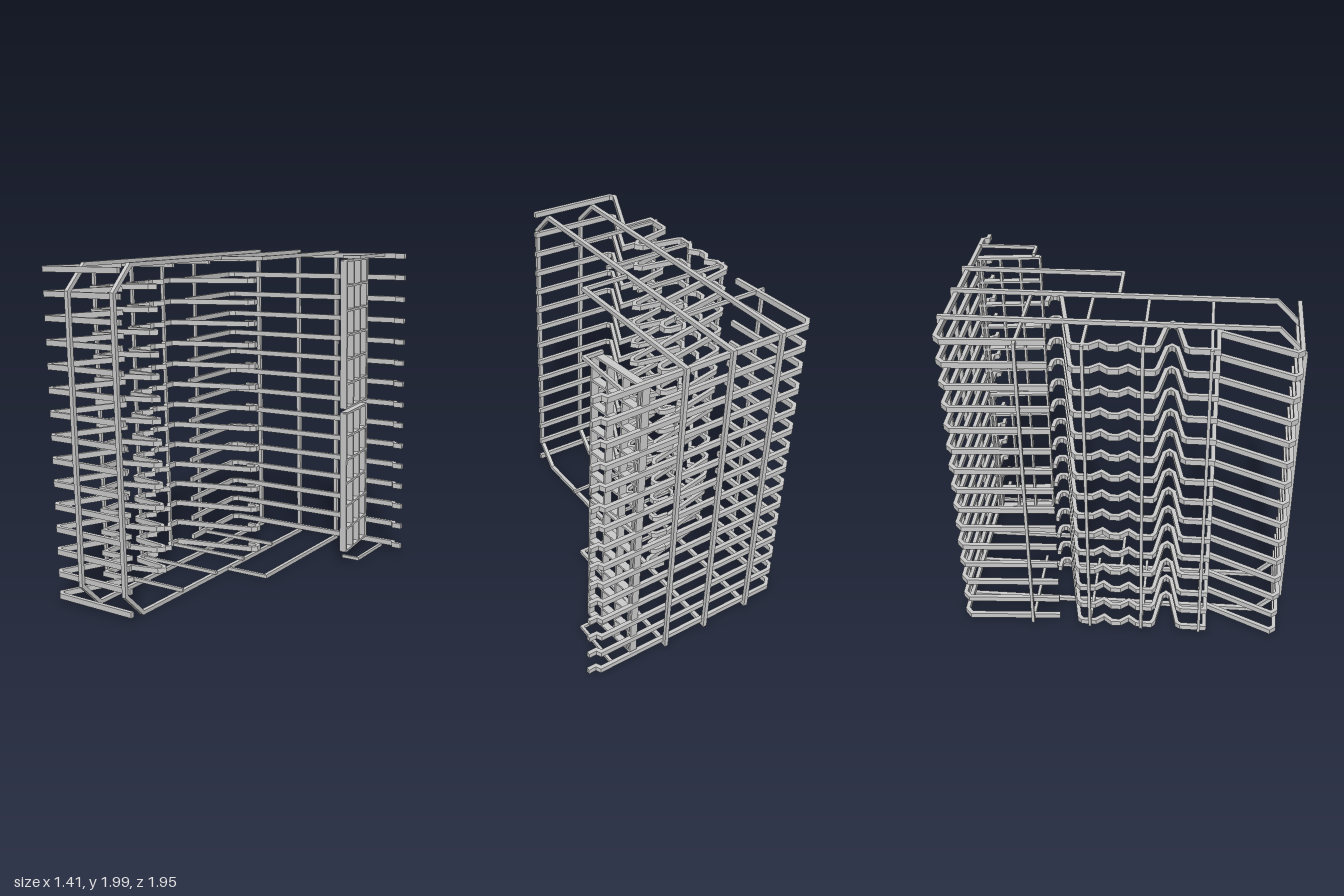
import * as THREE from 'three';

const material = new THREE.MeshStandardMaterial({ color: 0xcccccc });

// Mitred offset of a polyline to one side
function offset(pts, d, closed) {
  const n = pts.length;
  const dir = (a, b) => new THREE.Vector2(b[0] - a[0], b[1] - a[1]).normalize();
  return pts.map((p, i) => {
    const hasPrev = closed || i > 0, hasNext = closed || i < n - 1;
    let a = hasPrev ? dir(pts[(i + n - 1) % n], p) : null;
    let b = hasNext ? dir(p, pts[(i + 1) % n]) : null;
    a = a || b;
    b = b || a;
    const k = d / Math.max(0.25, 1 + a.dot(b));
    return new THREE.Vector2(p[0] - (a.y + b.y) * k, p[1] + (a.x + b.x) * k);
  });
}

// Square-section wire following a flat path; thick is measured across the path's plane
function wire(pts, width, thick, closed = false) {
  const a = offset(pts, width / 2, closed), b = offset(pts, -width / 2, closed);
  let shape;
  if (closed) {
    const flip = THREE.ShapeUtils.area(a) > THREE.ShapeUtils.area(b);
    shape = new THREE.Shape(flip ? a : b);
    shape.holes.push(new THREE.Path(flip ? b : a));
  } else {
    shape = new THREE.Shape([...a, ...b.reverse()]);
  }
  const g = new THREE.ExtrudeGeometry(shape, { depth: thick, bevelEnabled: false });
  return g.translate(0, 0, -thick / 2);
}
// Paths given as [x, z] lying flat, and as [z, y] standing sideways
const flatWire = (pts, w, t) => wire(pts.map(([x, z]) => [x, -z]), w, t).rotateX(-Math.PI / 2);
const sideWire = (pts, w, t, closed) => wire(pts, w, t, closed).rotateY(-Math.PI / 2);

export function createModel() {
  const model = new THREE.Group();
  const rack = new THREE.Group();
  rack.name = 'wireRack';
  const add = (name, geometry, x = 0, y = 0, z = 0) => {
    const mesh = new THREE.Mesh(geometry, material);
    mesh.name = name;
    mesh.position.set(x, y, z);
    rack.add(mesh);
    return mesh;
  };

  // Fifteen levels of bent wire: a hooked back wire and a zigzag side wire
  const back = flatWire([
    [0.68, -0.915], [0.625, -0.915], [0.61, -0.945], [-0.63, -0.945],
    [-0.667, -0.91], [-0.632, -0.37]], 0.024, 0.033);
  const side = flatWire([
    [-0.21, -0.43], [-0.14, -0.425], [-0.12, -0.41], [-0.118, -0.38], [-0.14, -0.356],
    [-0.645, -0.25], [-0.667, -0.23], [-0.667, -0.15], [-0.625, -0.1], [-0.667, -0.05],
    [-0.667, 0], [-0.625, 0.05], [-0.667, 0.1], [-0.667, 0.185], [-0.645, 0.2],
    [-0.42, 0.237], [-0.393, 0.265], [-0.42, 0.295], [-0.65, 0.343],
    [-0.667, 0.365], [-0.667, 0.508], [-0.47, 0.508], [-0.664, 0.9],
    [-0.64, 0.928], [-0.095, 0.942]], 0.024, 0.033);
  for (let i = 0; i < 15; i++) {
    const y = 1.013 + (i - 7) * 0.136;
    add('backWire', back, 0, y);
    add('sideWire', side, 0, y);
  }

  // Two full loops with clipped front corners
  const loop = sideWire([
    [-0.965, 0.028], [0.82, 0.028], [0.962, 0.17], [0.962, 1.846],
    [0.82, 1.988], [-0.965, 1.988]], 0.024, 0.026, true);
  for (const x of [-0.445, -0.125]) add('mainLoop', loop, x);

  // Half-depth bracket behind the opening, tied to the inner loop
  add('rearBracket', sideWire([
    [-0.04, 1.985], [-0.965, 1.985], [-0.965, 0.028], [-0.04, 0.028]], 0.024, 0.024), 0.165);
  for (const y of [0.028, 1.985]) {
    add('bracketTie', new THREE.BoxGeometry(0.31, 0.022, 0.02), 0.022, y, -0.04);
  }

  // C-shaped side posts with arms over the top and under the bottom
  const post = wire([[-0.09, 1.968], [-0.683, 1.968], [-0.683, 0.055], [-0.09, 0.055]], 0.022, 0.018);
  for (const z of [-0.53, -0.183, 0.127, 0.475]) add('sidePost', post, 0, 0, z);

  // Two stacked grid panels made of deep slats, slanting slightly outward to the front
  const zBack = -0.94, zFront = -0.565;
  const slatX = z => 0.388 + (z - zBack) / (zFront - zBack) * 0.045;
  const angle = Math.atan2(0.045, zFront - zBack);
  const length = Math.hypot(0.045, zFront - zBack);
  for (const [bottom, top] of [[0.085, 0.995], [1.03, 1.95]]) {
    for (const z of [zBack, -0.915, -0.8, -0.685, zFront]) {
      add('gridUpright', new THREE.BoxGeometry(0.045, top - bottom, 0.014),
        slatX(z), (top + bottom) / 2, z);
    }
    for (let i = 0; i <= 6; i++) {
      const slat = add('gridSlat', new THREE.BoxGeometry(0.045, 0.014, length),
        slatX((zBack + zFront) / 2), bottom + (top - bottom) * i / 6, (zBack + zFront) / 2);
      slat.rotation.y = angle;
    }
  }

  // Small loops holding the grid at top and bottom
  const holder = flatWire([[0.52, -0.945], [0.52, -0.6], [0.41, -0.6]], 0.018, 0.02);
  for (const y of [0.038, 1.972]) add('gridHolder', holder, 0, y);

  // The whole rack leans very slightly to one side
  for (const child of rack.children) child.position.y -= 1;
  rack.position.y = 1;
  rack.rotation.z = 0.021;
  model.add(rack);
  return model;
}
